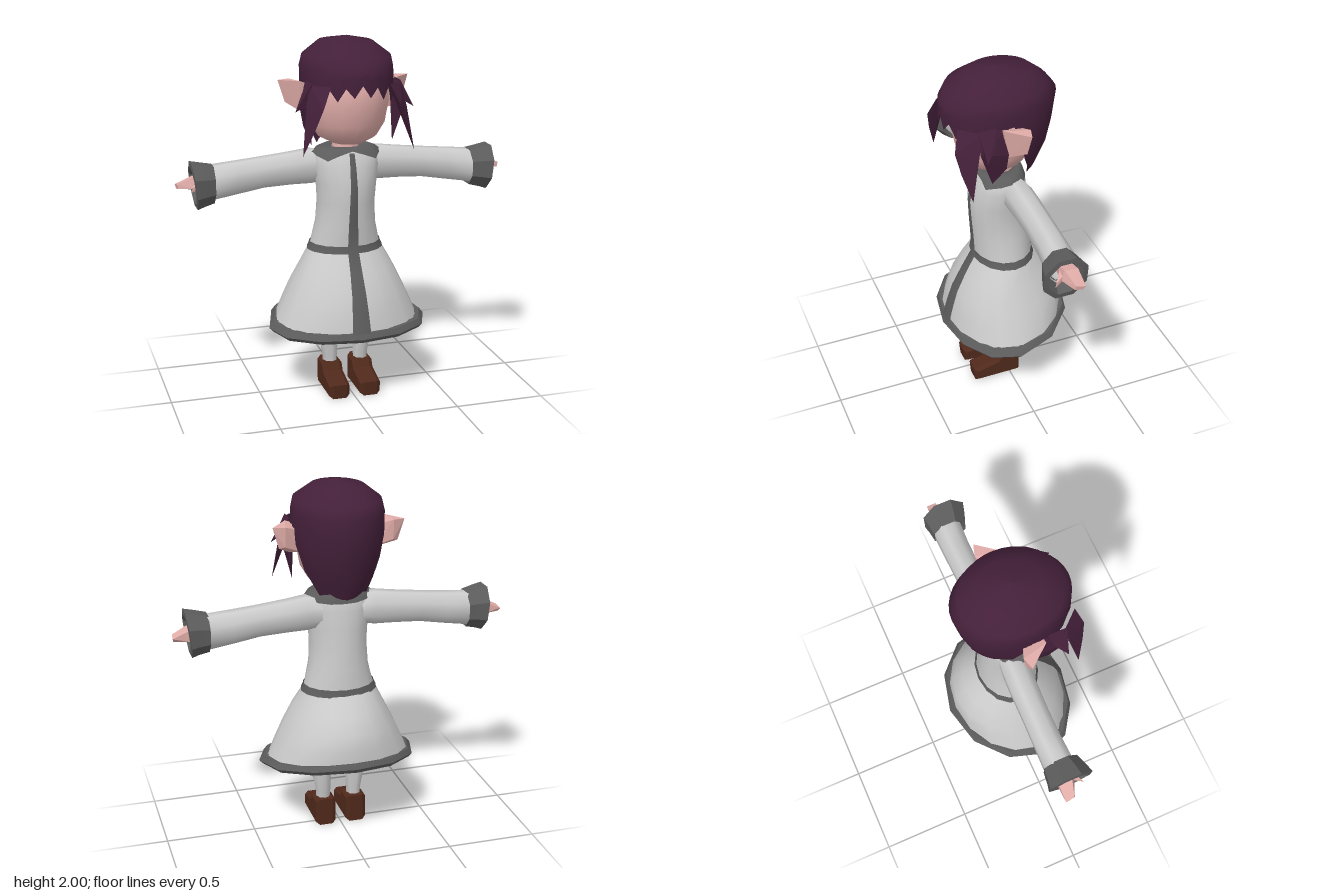
import * as THREE from 'three';
import { toCreasedNormals } from 'three/addons/utils/BufferGeometryUtils.js';
import { ConvexGeometry } from 'three/addons/geometries/ConvexGeometry.js';

const mat = (color) => new THREE.MeshStandardMaterial({ color, side: THREE.DoubleSide });
const cloth = mat(0xcccccc), trim = mat(0x5c5c5c), skin = mat(0xe0aca8);
const hairMat = mat(0x44203a), leather = mat(0x50291b);

// Horizontal section: half width, front z, back z; optional x centre, z centre and droop of the hem
function ring(y, rx, zf, zb, { n = 16, cx = 0, zc = (zf + zb) / 2, droop = 0 } = {}) {
  return Array.from({ length: n }, (_, i) => {
    const a = (i / n) * Math.PI * 2, c = Math.cos(a);
    const z = zc + c * (c > 0 ? zf - zc : zc - zb);
    return [cx + rx * Math.sin(a), y + droop * (0.2 * z * z - 0.115 * z), z];
  });
}

// Section across the x axis, for arms and cuffs
function armRing(x, y, z, ry, rz, lean = 0, n = 8) {
  return Array.from({ length: n }, (_, i) => {
    const a = ((i + 0.5) / n) * Math.PI * 2;
    return [x + lean * Math.cos(a), y + ry * Math.cos(a), z + rz * Math.sin(a)];
  });
}

// Skin a surface over successive sections
function loft(sections, closed = true) {
  const n = sections[0].length, index = [];
  for (let i = 0; i < sections.length - 1; i++) {
    for (let j = 0; j < (closed ? n : n - 1); j++) {
      const k = (j + 1) % n, a = i * n + j, b = i * n + k;
      index.push(a, b, b + n, a, b + n, a + n);
    }
  }
  const g = new THREE.BufferGeometry();
  g.setAttribute('position', new THREE.Float32BufferAttribute(sections.flat(2), 3));
  g.setIndex(index);
  g.computeVertexNormals();
  return g;
}

const convex = (pts) => new ConvexGeometry(pts.map((p) => new THREE.Vector3(...p)));
const crease = (g) => toCreasedNormals(g, 0.6);

// Mirror across x, keeping faces outward
function mirrored(geometry) {
  const g = geometry.index ? geometry.toNonIndexed() : geometry.clone();
  g.scale(-1, 1, 1);
  for (const attr of Object.values(g.attributes)) {
    for (let i = 0; i < attr.count; i += 3) {
      for (let k = 0; k < attr.itemSize; k++) {
        const t = attr.getComponent(i + 1, k);
        attr.setComponent(i + 1, k, attr.getComponent(i + 2, k));
        attr.setComponent(i + 2, k, t);
      }
    }
  }
  return g;
}

export function createModel() {
  const model = new THREE.Group();
  const add = (name, geometry, material) => {
    const m = new THREE.Mesh(geometry, material);
    m.name = name;
    model.add(m);
  };
  const pair = (name, geometry, material) => {
    add(name + 'Left', geometry, material);
    add(name + 'Right', mirrored(geometry), material);
  };

  // Coat body
  add('coatBody', loft([
    ring(0.84, 0.2, 0.16, -0.16), ring(0.98, 0.167, 0.172, -0.152), ring(1.1, 0.16, 0.18, -0.142),
    ring(1.2, 0.168, 0.185, -0.135), ring(1.3, 0.182, 0.165, -0.125),
    ring(1.37, 0.175, 0.142, -0.112), ring(1.4, 0.12, 0.12, -0.09),
  ]), cloth);

  // Skirt, open below, with a thick slanted hem
  const sk = { n: 16, zc: 0.03, droop: 1 };
  add('skirt', loft([
    ring(0.42, 0.41, 0.333, -0.325, sk), ring(0.52, 0.365, 0.315, -0.325, { ...sk, droop: 0.8 }),
    ring(0.62, 0.318, 0.285, -0.312, { ...sk, droop: 0.5 }),
    ring(0.73, 0.262, 0.225, -0.255, { ...sk, droop: 0.2 }), ring(0.845, 0.2, 0.16, -0.16),
  ]), cloth);
  const hem = { n: 12, zc: 0.06, droop: 1 };
  add('hem', crease(loft([
    ring(0.435, 0.4, 0.315, -0.315, hem), ring(0.39, 0.41, 0.32, -0.32, hem),
    ring(0.387, 0.43, 0.345, -0.345, hem), ring(0.408, 0.45, 0.36, -0.362, hem),
    ring(0.438, 0.425, 0.347, -0.348, hem), ring(0.44, 0.4, 0.315, -0.315, hem),
  ])), trim);
  add('belt', loft([
    ring(0.825, 0.216, 0.174, -0.174), ring(0.845, 0.206, 0.167, -0.167), ring(0.865, 0.199, 0.165, -0.163),
  ]), trim);

  // Front band: y, half width, z
  add('frontBand', loft([
    [0.405, 0.052, 0.352], [0.52, 0.046, 0.322], [0.62, 0.04, 0.29], [0.73, 0.034, 0.236], [0.845, 0.03, 0.173],
    [0.98, 0.026, 0.179], [1.1, 0.022, 0.187], [1.2, 0.019, 0.191], [1.3, 0.017, 0.172], [1.38, 0.014, 0.145],
  ].map(([y, w, z]) => [[-w, y, z - 0.18 * w], [0, y, z], [w, y, z - 0.18 * w]]), false), trim);

  // Collar with two pointed corners at the front
  const collarEdge = ring(1.362, 0.19, 0.152, -0.12);
  collarEdge.forEach((p, i) => {
    const k = Math.min(i, 16 - i);
    p[1] += [0.03, 0.005, -0.018, 0, 0.015, 0, -0.01, -0.015, -0.015][k];
    if (k === 2) p[2] += 0.03;
  });
  add('collar', loft([
    collarEdge, ring(1.396, 0.165, 0.14, -0.105), ring(1.41, 0.12, 0.115, -0.088), ring(1.385, 0.07, 0.07, -0.06),
  ]), trim);

  // Sleeves, cuffs and hands
  pair('sleeve', loft([
    armRing(0.1, 1.29, -0.02, 0.085, 0.075), armRing(0.19, 1.29, -0.025, 0.1, 0.08),
    armRing(0.3, 1.282, -0.03, 0.093, 0.078), armRing(0.45, 1.27, -0.032, 0.088, 0.076),
    armRing(0.6, 1.25, -0.032, 0.094, 0.078), armRing(0.76, 1.23, -0.028, 0.1, 0.084),
  ]), cloth);
  pair('cuff', crease(loft([
    armRing(0.745, 1.228, -0.02, 0.08, 0.07), armRing(0.728, 1.228, -0.018, 0.108, 0.1),
    armRing(0.79, 1.228, -0.01, 0.122, 0.116, 0.005), armRing(0.836, 1.227, -0.008, 0.134, 0.128, 0.014),
    armRing(0.84, 1.228, -0.008, 0.106, 0.1, 0.012), armRing(0.765, 1.228, -0.015, 0.08, 0.075),
  ])), trim);
  pair('hand', convex([
    [0.74, 1.26, -0.06], [0.74, 1.2, -0.06], [0.74, 1.26, 0.0], [0.74, 1.2, 0.0],
    [0.83, 1.265, -0.075], [0.83, 1.2, -0.075], [0.83, 1.275, 0.0], [0.83, 1.215, 0.015],
    [0.925, 1.225, -0.075], [0.92, 1.205, -0.06], [0.92, 1.235, -0.025], [0.915, 1.21, -0.02],
  ]), skin);
  pair('thumb', convex([
    [0.76, 1.25, -0.01], [0.76, 1.21, -0.01], [0.82, 1.245, -0.01], [0.82, 1.21, -0.01],
    [0.85, 1.225, 0.05], [0.86, 1.205, 0.06],
  ]), skin);

  // Legs and boots
  const leg = (y, cx, r, zf, zb) => ring(y, r, zf, zb, { n: 8, cx });
  pair('leg', loft([
    leg(0.14, 0.09, 0.04, 0.052, -0.038), leg(0.2, 0.09, 0.044, 0.058, -0.045),
    leg(0.37, 0.1, 0.062, 0.088, -0.075), leg(0.5, 0.1, 0.064, 0.085, -0.07),
    leg(0.65, 0.1, 0.08, 0.1, -0.09), leg(0.82, 0.09, 0.09, 0.11, -0.11),
  ]), cloth);
  const side = new THREE.Shape([
    [-0.045, 0.015], [0.2, 0.015], [0.205, 0.07], [0.07, 0.104], [0.045, 0.145], [-0.045, 0.145],
  ].map((p) => new THREE.Vector2(...p)));
  const boot = new THREE.ExtrudeGeometry(side, {
    depth: 0.076, bevelEnabled: true, bevelThickness: 0.02, bevelSize: 0.015, bevelSegments: 1,
  });
  boot.rotateY(-Math.PI / 2).translate(0.127, 0, 0);
  pair('boot', boot, leather);

  // Neck, head and pointed ears
  add('neck', new THREE.CylinderGeometry(0.065, 0.08, 0.12, 10).translate(0, 1.4, 0.01), skin);
  add('head', loft([
    ring(1.425, 0, 0.06, 0.06), ring(1.43, 0.09, 0.15, -0.06), ring(1.465, 0.16, 0.205, -0.12),
    ring(1.54, 0.205, 0.25, -0.17), ring(1.65, 0.225, 0.272, -0.2),
    ring(1.78, 0.222, 0.275, -0.2), ring(1.9, 0.13, 0.16, -0.12),
  ]), skin);
  pair('ear', convex([
    [0.2, 1.75, 0.09], [0.2, 1.61, 0.07], [0.2, 1.74, 0.0], [0.2, 1.62, 0.0],
    [0.27, 1.775, 0.095], [0.265, 1.61, 0.06], [0.33, 1.65, -0.01],
    [0.365, 1.768, -0.02], [0.3, 1.77, -0.04], [0.3, 1.66, -0.03],
  ]), skin);

  // Hair cap: y, half width, front z, back z
  const profile = [
    [1.38, 0.165, 0.3, -0.17], [1.55, 0.222, 0.32, -0.24], [1.7, 0.25, 0.338, -0.27], [1.84, 0.246, 0.336, -0.29],
    [1.9, 0.235, 0.3, -0.245], [1.97, 0.145, 0.19, -0.16], [2, 0, 0.03, 0.03],
  ];
  const hairPoint = (i, y) => {
    const k = Math.max(0, profile.findIndex((p) => p[0] >= y) - 1), lo = profile[k], hi = profile[k + 1];
    const s = lo.map((v, q) => THREE.MathUtils.lerp(v, hi[q], (y - lo[0]) / (hi[0] - lo[0])));
    return ring(y, s[1], s[2], s[3], { n: 36 })[i];
  };
  // Fringe, ear gap and nape heights, from the front round to the back
  const edge = [1.775, 1.71, 1.76, 1.69, 1.75, 1.67, 1.7, 1.67, 1.76, 1.77, 1.67, 1.53, 1.47, 1.4, 1.41, 1.42, 1.4, 1.39, 1.385];
  const rows = [0, 0.33, 0.66, 1].map((t) =>
    Array.from({ length: 36 }, (_, i) => hairPoint(i, THREE.MathUtils.lerp(edge[Math.min(i, 36 - i)], 1.84, t))));
  for (const y of [1.9, 1.97, 2]) rows.push(Array.from({ length: 36 }, (_, i) => hairPoint(i, y)));
  add('hairCap', loft(rows), hairMat);

  // Side locks hanging in front of the ears
  pair('frontLock', convex([
    [0.16, 1.77, 0.3], [0.25, 1.77, 0.2], [0.18, 1.72, 0.27], [0.21, 1.66, 0.335],
    [0.275, 1.64, 0.23], [0.25, 1.55, 0.315], [0.305, 1.41, 0.275],
  ]), hairMat);
  pair('sideLock', convex([
    [0.24, 1.77, 0.22], [0.245, 1.77, 0.06], [0.21, 1.72, 0.14], [0.27, 1.66, 0.22],
    [0.265, 1.62, 0.065], [0.25, 1.53, 0.07], [0.225, 1.44, 0.14],
  ]), hairMat);
  pair('shortLock', convex([
    [0.24, 1.78, 0.22], [0.24, 1.78, 0.12], [0.24, 1.68, 0.2], [0.28, 1.7, 0.14], [0.325, 1.63, 0.2],
  ]), hairMat);

  return model;
}
